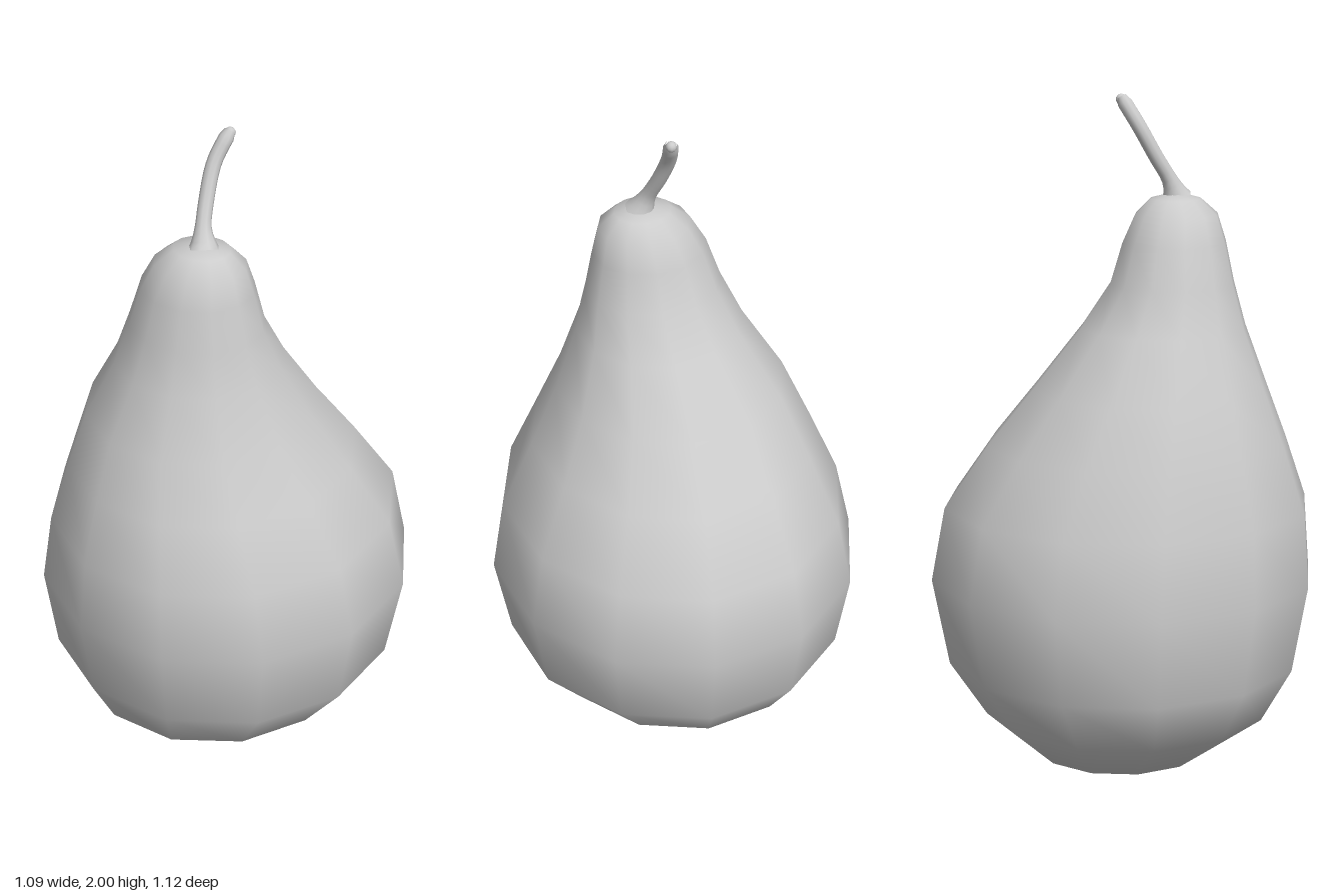
import * as THREE from 'three';
import { mergeVertices } from 'three/addons/utils/BufferGeometryUtils.js';

const grey = new THREE.MeshStandardMaterial({ color: 0xcccccc });

// Weld the seam and poles of a lathe or tube, then smooth it.
function weld(geometry) {
  geometry.deleteAttribute('uv');
  geometry.deleteAttribute('normal');
  const welded = mergeVertices(geometry, 1e-4);
  welded.computeVertexNormals();
  return welded;
}

// Lopsided fruit: a 12-sided lathe whose rings are scaled and shifted.
function makeFruit() {
  // Each ring: height, left edge, right edge (x), back edge, front edge (z)
  const rings = [
    [0.0, -0.02, -0.02, 0.0, 0.0],
    [0.015, -0.29, 0.25, -0.26, 0.26],
    [0.14, -0.43, 0.37, -0.40, 0.43],
    [0.30, -0.515, 0.495, -0.51, 0.52],
    [0.56, -0.545, 0.54, -0.56, 0.565],
    [0.78, -0.50, 0.495, -0.52, 0.55],
    [0.97, -0.43, 0.39, -0.39, 0.49],
    [1.14, -0.365, 0.30, -0.255, 0.43],
    [1.32, -0.26, 0.225, -0.115, 0.365],
    [1.45, -0.205, 0.19, -0.03, 0.33],
    [1.57, -0.165, 0.165, 0.005, 0.305],
    [1.65, -0.12, 0.145, 0.04, 0.28],
    [1.695, -0.065, 0.10, 0.085, 0.23],
    [1.715, 0.02, 0.02, 0.16, 0.16],
  ];
  const sides = 12;
  const profile = rings.map(([y], i) =>
    new THREE.Vector2(i === 0 || i === rings.length - 1 ? 0 : 1, y));
  const geometry = new THREE.LatheGeometry(profile, sides, Math.PI / sides);
  const pos = geometry.attributes.position;
  const reach = Math.cos(Math.PI / sides);
  for (let i = 0; i < pos.count; i++) {
    const [y, x0, x1, z0, z1] = rings[i % rings.length];
    pos.setXYZ(i,
      (x0 + x1) / 2 + pos.getX(i) * (x1 - x0) / 2 / reach,
      y,
      (z0 + z1) / 2 + pos.getZ(i) * (z1 - z0) / 2 / reach);
  }
  return new THREE.Mesh(weld(geometry), grey);
}

// Curved stem, flared at the root and rounded off at the tip.
function makeStem() {
  const path = new THREE.CatmullRomCurve3([
    new THREE.Vector3(0.025, 1.695, 0.16),
    new THREE.Vector3(0.01, 1.75, 0.14),
    new THREE.Vector3(-0.005, 1.82, 0.10),
    new THREE.Vector3(-0.012, 1.91, 0.05),
    new THREE.Vector3(0.006, 1.99, -0.002),
  ]);
  const steps = 16, sides = 10;
  const geometry = new THREE.TubeGeometry(path, steps, 1, sides);
  const pos = geometry.attributes.position;
  const p = new THREE.Vector3();
  for (let i = 0; i < pos.count; i++) {
    const t = Math.floor(i / (sides + 1)) / steps;
    const radius = t === 1 ? 0.016 : 0.022 + 0.024 * Math.max(0, 1 - t * 4) ** 2;
    const centre = path.getPointAt(t);
    p.fromBufferAttribute(pos, i).sub(centre).multiplyScalar(radius).add(centre);
    pos.setXYZ(i, p.x, p.y, p.z);
  }
  const stem = new THREE.Group();
  stem.add(new THREE.Mesh(weld(geometry), grey));
  const tip = new THREE.Mesh(new THREE.SphereGeometry(0.016, 10, 8), grey);
  tip.name = 'stemTip';
  tip.position.copy(path.getPointAt(1));
  tip.position.y -= 0.006;
  stem.add(tip);
  stem.children[0].name = 'stemShaft';
  return stem;
}

export function createModel() {
  const pear = new THREE.Group();
  pear.name = 'pear';
  const fruit = makeFruit();
  fruit.name = 'fruit';
  const stem = makeStem();
  stem.name = 'stem';
  pear.add(fruit, stem);
  return pear;
}
